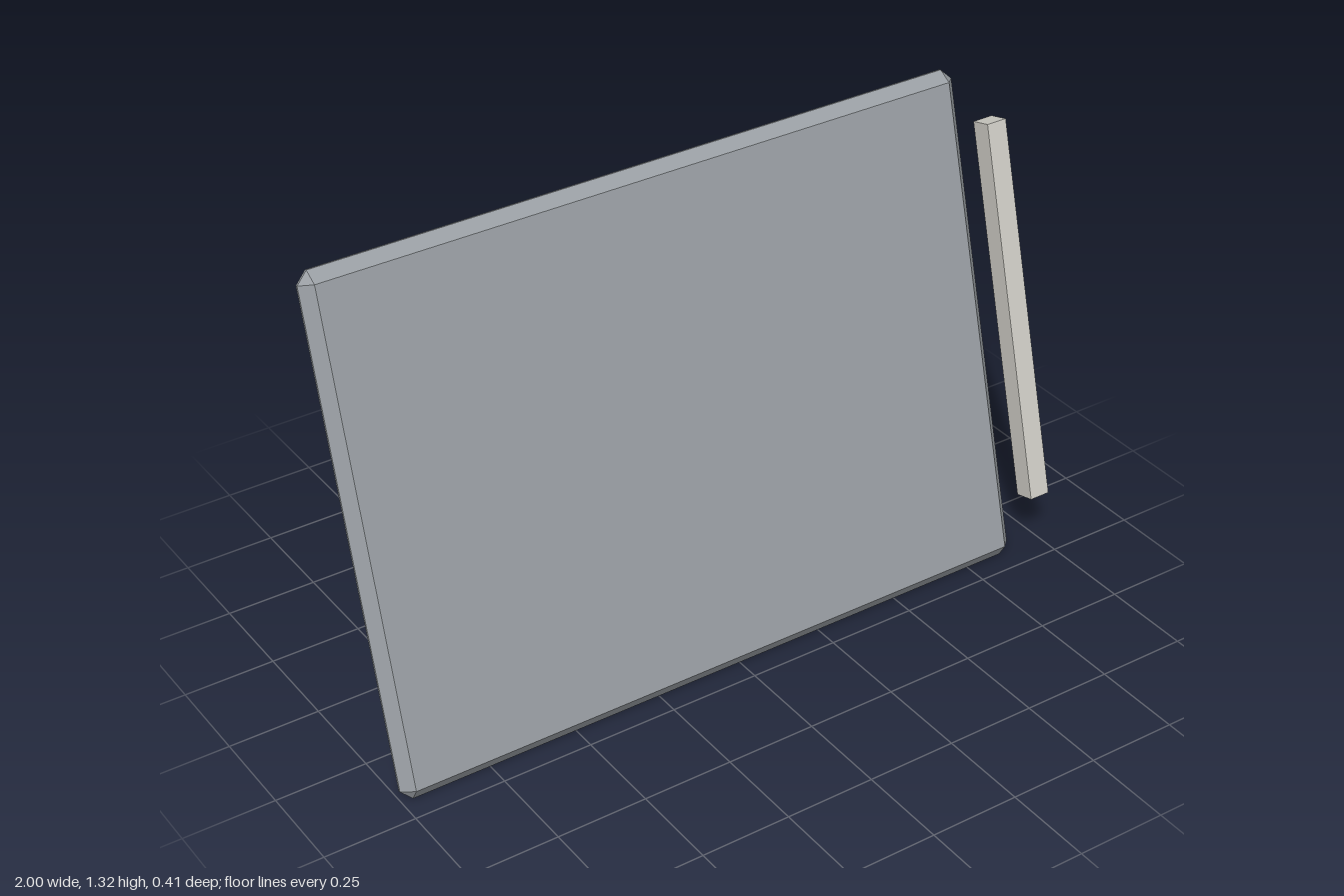
import * as THREE from 'three';
import { ConvexGeometry } from 'three/addons/geometries/ConvexGeometry.js';

// Box with flat chamfers on every edge and a triangle at each corner
function chamferBox(w, h, d, c) {
  const points = [];
  for (const sx of [-1, 1]) for (const sy of [-1, 1]) for (const sz of [-1, 1]) {
    const x = w / 2, y = h / 2, z = d / 2;
    points.push(
      new THREE.Vector3(sx * x, sy * (y - c), sz * (z - c)),
      new THREE.Vector3(sx * (x - c), sy * y, sz * (z - c)),
      new THREE.Vector3(sx * (x - c), sy * (y - c), sz * z)
    );
  }
  return new ConvexGeometry(points);
}

export function createModel() {
  const material = (name, color) => {
    const m = new THREE.MeshStandardMaterial({ color });
    m.name = name;
    return m;
  };
  const grey = material('casing grey', 0x999ea3);
  const blue = material('screen blue', 0x3a6fcc);
  const pale = material('stylus pale grey', 0xcfcdc6);

  // Everything leans back by the same angle
  const tablet = new THREE.Group();
  tablet.name = 'tablet';
  tablet.rotation.x = THREE.MathUtils.degToRad(-15);

  const add = (name, geometry, mat, x, y, z) => {
    const mesh = new THREE.Mesh(geometry, mat);
    mesh.name = name;
    mesh.position.set(x, y, z);
    tablet.add(mesh);
  };

  // Slab casing with chamfered edges
  add('casing', chamferBox(1.89, 1.364, 0.067, 0.03), grey, -0.055, 0.638, 0.1745);
  // Screen panel raised from the rear face
  add('screen', new THREE.BoxGeometry(1.74, 1.208, 0.018), blue, -0.055, 0.654, 0.1325);
  // Square stylus floating beside the casing
  add('stylus', new THREE.BoxGeometry(0.06, 1.055, 0.059), pale, 0.97, 0.634, 0.2135);

  const model = new THREE.Group();
  model.name = 'model';
  model.add(tablet);
  return model;
}
